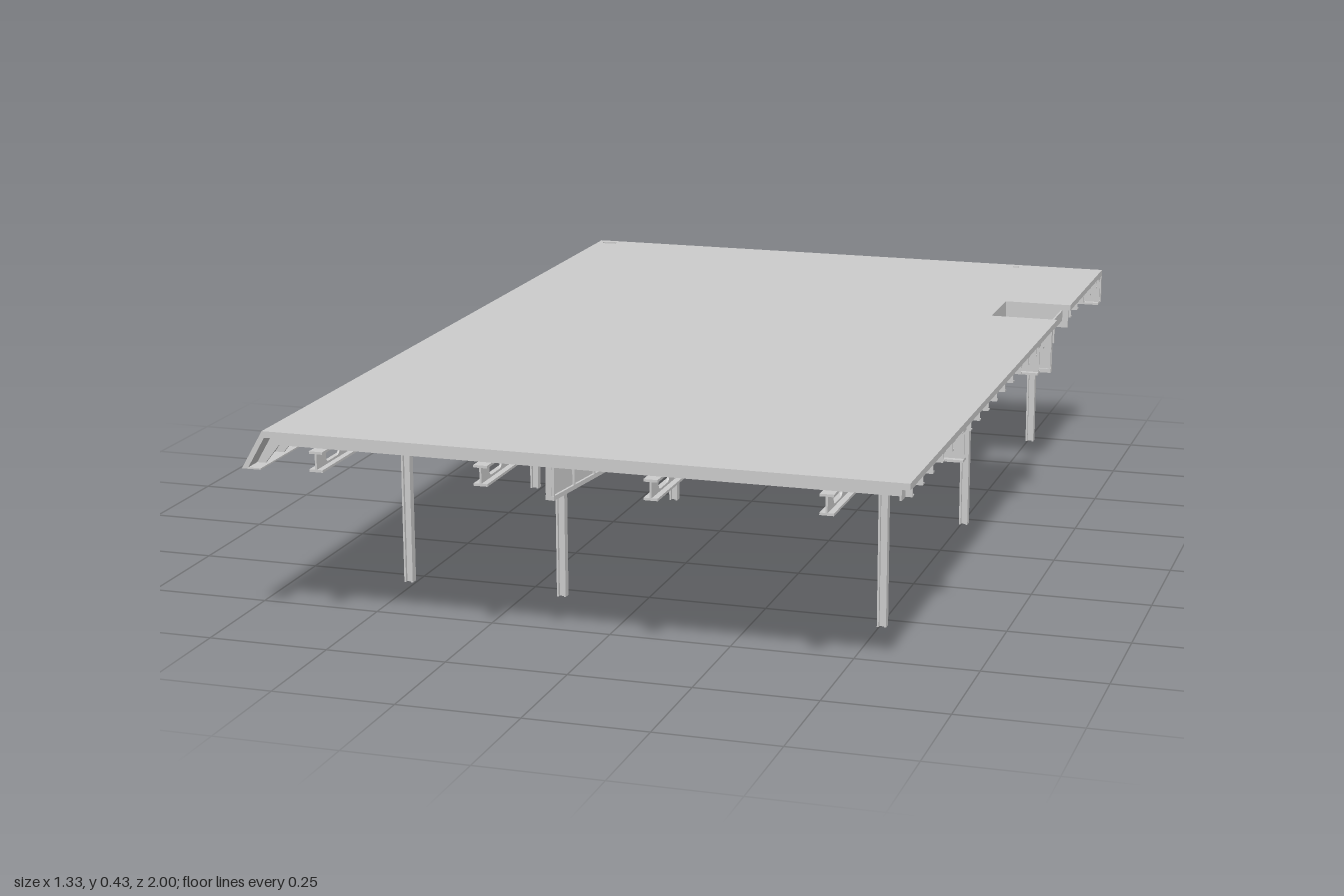
import * as THREE from 'three';

const mat = new THREE.MeshStandardMaterial({ color: 0xcccccc, flatShading: true, side: THREE.DoubleSide });

function add(parent, name, geometry) {
  const m = new THREE.Mesh(geometry, mat);
  m.name = name;
  parent.add(m);
  return m;
}

// Box given by its min and max corners
function box(parent, name, x0, x1, y0, y1, z0, z1) {
  const g = new THREE.BoxGeometry(x1 - x0, y1 - y0, z1 - z0);
  g.translate((x0 + x1) / 2, (y0 + y1) / 2, (z0 + z1) / 2);
  return add(parent, name, g);
}

function polygon(points) {
  return new THREE.Shape(points.map(p => new THREE.Vector2(p[0], p[1])));
}

function extrude(shape, depth) {
  return new THREE.ExtrudeGeometry(shape, { depth, bevelEnabled: false, curveSegments: 6 });
}

// Long rounded opening in a beam web
function slot(cx, cy, w, h) {
  const r = h / 2, d = w / 2 - r, p = new THREE.Path();
  p.absarc(cx + d, cy, r, -Math.PI / 2, Math.PI / 2, false);
  p.absarc(cx - d, cy, r, Math.PI / 2, Math.PI * 1.5, false);
  p.closePath();
  return p;
}

// I-beam along x with a row of openings in its web
function cellularBeam(name, x0, x1, y0, y1, first, slotHeight) {
  const g = new THREE.Group(), pitch = 0.1135, t = 0.005;
  g.name = name;
  const web = polygon([[x0, y0], [x1, y0], [x1, y1], [x0, y1]]);
  for (let x = first; x < x1 - 0.035; x += pitch) {
    if (x > x0 + 0.035) web.holes.push(slot(x, (y0 + y1) / 2, 0.065, slotHeight));
  }
  add(g, 'web', extrude(web, 0.004)).position.z = -0.002;
  box(g, 'bottomFlange', x0, x1, y0, y0 + t, -0.014, 0.014);
  box(g, 'topFlange', x0, x1, y1 - t, y1, -0.014, 0.014);
  return g;
}

export function createModel() {
  const model = new THREE.Group();
  model.name = 'roofStructure';
  const colX = [-0.515, -0.175, 0.505], colZ = [0.54, -0.215, -0.97];

  // Roof deck with edge notch and two small drain openings (shape y is -z)
  const deck = polygon([[-0.62, -1], [0.665, -1], [0.665, 0.42], [0.515, 0.42],
    [0.515, 0.58], [0.665, 0.58], [0.665, 1], [-0.62, 1]]);
  deck.holes.push(slot(-0.59, 0.975, 0.036, 0.02), slot(0.458, 0.975, 0.016, 0.012));
  const deckGeo = extrude(deck, 0.013);
  deckGeo.rotateX(-Math.PI / 2);
  add(model, 'deck', deckGeo).position.y = 0.42;

  // Sloped fascia along the right-hand side and its brackets
  const fascia = polygon([[-0.62, 0.433], [-0.665, 0.355], [-0.653, 0.355], [-0.608, 0.433]]);
  add(model, 'slopedFascia', extrude(fascia, 2)).position.z = -1;
  box(model, 'fasciaLip', -0.662, -0.625, 0.355, 0.358, -1, 1);
  const bracket = polygon([[-0.615, 0.42], [-0.653, 0.356], [-0.635, 0.356], [-0.585, 0.42]]);
  for (let i = 0; i < 24; i++) {
    add(model, 'fasciaBracket', extrude(bracket, 0.005)).position.z = 0.955 - i * 0.083;
  }

  // Vertical fascia across the back
  const back = polygon([[-0.665, 0.355], [0.665, 0.355], [0.665, 0.433], [-0.62, 0.433]]);
  add(model, 'backFascia', extrude(back, 0.008)).position.z = -1;

  // Posts with H section
  for (const x of colX) for (const z of colZ) {
    const post = new THREE.Group();
    post.name = 'post';
    for (const s of [-1, 1]) box(post, 'flange', s * 0.0075 - 0.002, s * 0.0075 + 0.002, 0, 0.356, -0.009, 0.009);
    box(post, 'web', -0.007, 0.007, 0, 0.356, -0.002, 0.002);
    post.position.set(x, 0, z);
    model.add(post);
  }

  // Deep cross beams on the post rows
  for (const z of colZ) {
    const b = cellularBeam('crossBeam', -0.63, 0.665, 0.355, 0.42, -0.573, 0.033);
    b.position.z = z;
    model.add(b);
  }

  // Lengthwise beams carrying the joists
  for (const x of [...colX, 0.165]) {
    const b = cellularBeam('lengthwiseBeam', -0.985, 0.985, 0.355, 0.396, -0.91, 0.022);
    b.rotation.y = Math.PI / 2;
    b.position.x = x;
    model.add(b);
  }

  // Channel joists, shortened beside the notch
  const channel = polygon([[0, 0], [0.014, 0], [0.014, 0.003], [0.003, 0.003],
    [0.003, 0.021], [0.014, 0.021], [0.014, 0.024], [0, 0.024]]);
  for (let i = 0; i < 24; i++) {
    const z = 0.96 - i * 0.083;
    const end = z < -0.415 && z > -0.585 ? 0.51 : 0.66;
    const j = add(model, 'joist', extrude(channel, end + 0.61));
    j.rotation.y = Math.PI / 2;
    j.position.set(-0.61, 0.396, z);
  }
  box(model, 'edgeRail', 0.643, 0.647, 0.396, 0.42, -0.99, 0.99);

  // Frame round the notch
  box(model, 'notchInnerWall', 0.509, 0.515, 0.38, 0.43, -0.586, -0.414);
  box(model, 'notchBackWall', 0.509, 0.66, 0.38, 0.43, -0.586, -0.58);
  box(model, 'notchFrontWall', 0.509, 0.66, 0.38, 0.43, -0.42, -0.414);

  // Dropped bulkhead: a slanted run and a straight run out to the edge
  const bulkheadRun = (name, ax, az, bx, bz) => {
    const len = Math.hypot(bx - ax, bz - az), g = new THREE.Group();
    g.name = name;
    box(g, 'panel', 0, len, 0.327, 0.42, -0.004, 0.004);
    box(g, 'bottomLedge', 0, len, 0.325, 0.334, -0.009, 0.009);
    const n = Math.round(len / 0.085);
    for (let i = 0; i <= n; i++) {
      const x = 0.003 + (len - 0.006) * i / n;
      box(g, 'stiffener', x - 0.002, x + 0.002, 0.334, 0.42, -0.009, 0.009);
    }
    g.position.set(ax, 0, az);
    g.rotation.y = -Math.atan2(bz - az, bx - ax);
    model.add(g);
  };
  bulkheadRun('slantedBulkhead', -0.052, 0.94, 0.105, -0.365);
  bulkheadRun('straightBulkhead', 0.105, -0.365, 0.665, -0.365);

  return model;
}
